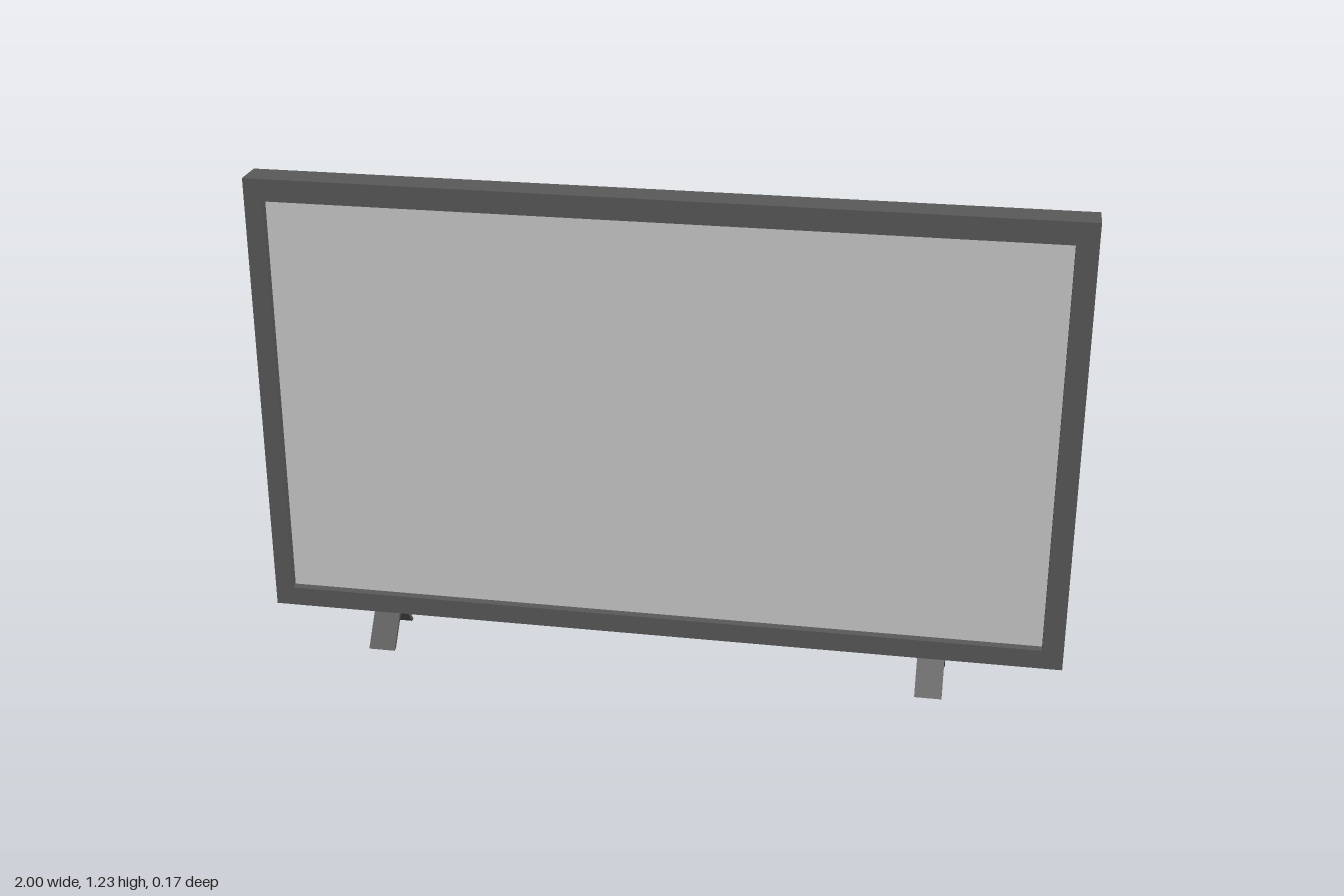
import * as THREE from 'three';

const dark = new THREE.MeshStandardMaterial({ color: 0x595959, flatShading: true });
const grey = new THREE.MeshStandardMaterial({ color: 0xcccccc, flatShading: true });

const BACK = -0.036, FRONT = 0.045, SCREEN = 0.023;
const outer = [-1, 0.087, 1, 1.226];
const inner = [-0.955, 0.136, 0.948, 1.171];

// Closed outline from [left, bottom, right, top]
function rectangle(Type, [l, b, r, t]) {
  return new Type([[l, b], [r, b], [r, t], [l, t]].map(([x, y]) => new THREE.Vector2(x, y)));
}

function addMesh(parent, name, geometry, material) {
  const mesh = new THREE.Mesh(geometry, material);
  mesh.name = name;
  parent.add(mesh);
  return mesh;
}

// Slanted flat bar with level ends; side is +1 for front, -1 for back
function legGeometry(side, width) {
  const profile = [[0.074, 0], [0.087, 0], [0.015, 0.089], [0.002, 0.089]];
  const shape = new THREE.Shape(profile.map(([z, y]) => new THREE.Vector2(-side * z, y)));
  const geometry = new THREE.ExtrudeGeometry(shape, { depth: width, bevelEnabled: false });
  return geometry.translate(0, 0, -width / 2).rotateY(Math.PI / 2);
}

export function createModel() {
  const model = new THREE.Group();
  model.name = 'television';

  // Bezel surrounding the recessed screen
  const frame = rectangle(THREE.Shape, outer);
  frame.holes.push(rectangle(THREE.Path, inner));
  const bezel = new THREE.ExtrudeGeometry(frame, { depth: FRONT - BACK, bevelEnabled: false });
  addMesh(model, 'bezel', bezel, dark).position.z = BACK;

  // Back panel closing the frame
  const panel = new THREE.ShapeGeometry(rectangle(THREE.Shape, inner)).rotateY(Math.PI);
  panel.translate(inner[0] + inner[2], 0, BACK);
  addMesh(model, 'backPanel', panel, dark);

  // Screen set back from the bezel
  const screen = new THREE.ShapeGeometry(rectangle(THREE.Shape, inner));
  addMesh(model, 'screen', screen, grey).position.z = SCREEN;

  // Two splayed feet, each with a front and a back leg
  for (const [name, x] of [['rightFoot', -0.712], ['leftFoot', 0.681]]) {
    const foot = new THREE.Group();
    foot.name = name;
    foot.position.x = x;
    addMesh(foot, 'frontLeg', legGeometry(1, 0.067), dark);
    addMesh(foot, 'backLeg', legGeometry(-1, 0.067), dark);
    model.add(foot);
  }

  return model;
}
